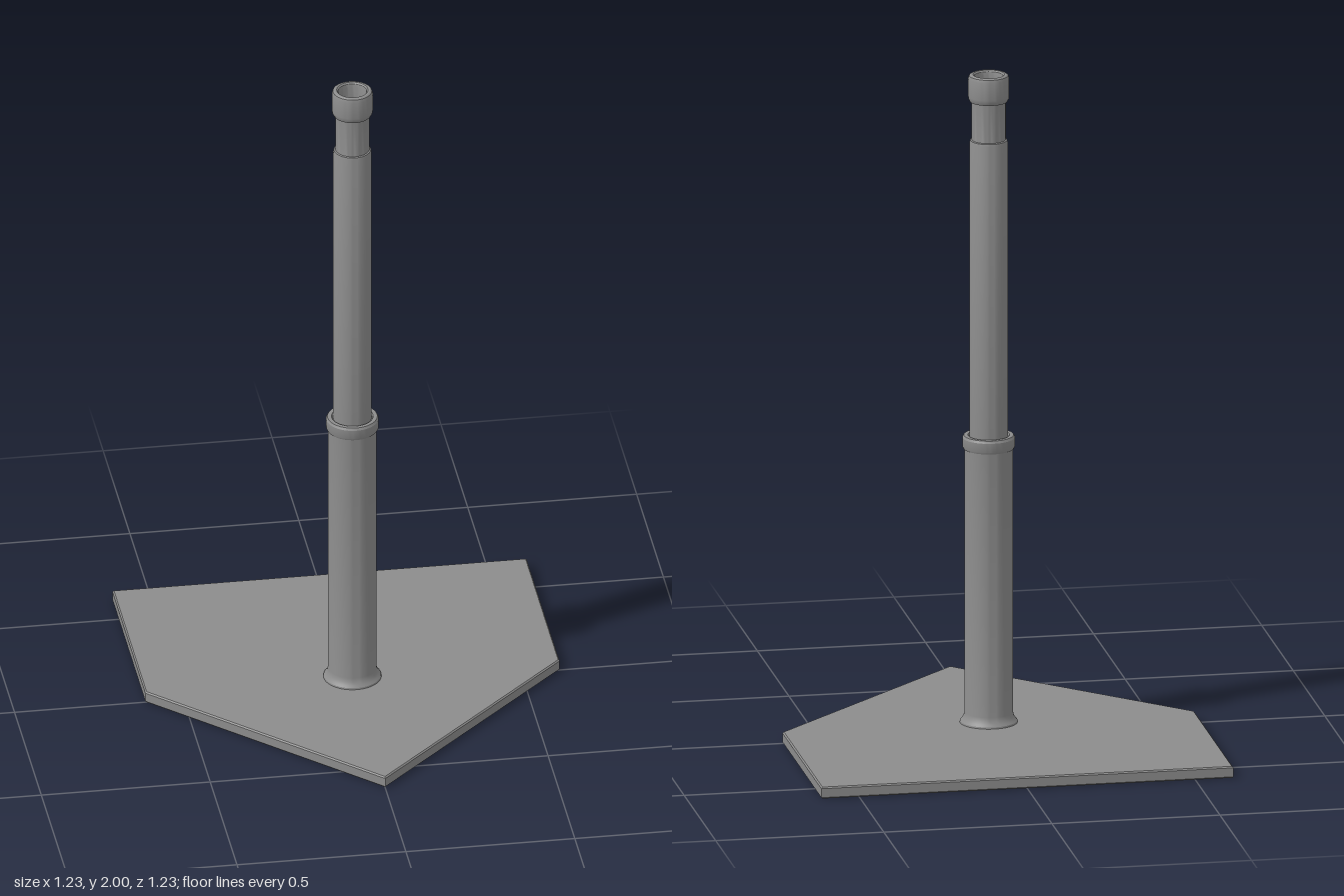
import * as THREE from 'three';
import { toCreasedNormals } from 'three/addons/utils/BufferGeometryUtils.js';

const rubber = new THREE.MeshStandardMaterial({ color: 0x8c8c8c });
rubber.name = 'grey rubber';

// Turned part from [radius, height] pairs, listed up the outside and down the inside
function turned(name, profile) {
  const points = profile.map(([r, y]) => new THREE.Vector2(r, y));
  const mesh = new THREE.Mesh(toCreasedNormals(new THREE.LatheGeometry(points, 48), 0.5), rubber);
  mesh.name = name;
  return mesh;
}

// Five-sided plate with its point to the front and a fine bevelled edge
function plate() {
  const b = 0.004, w = 0.613 - b;
  const shape = new THREE.Shape([
    [-w, 0], [0, -w], [w, 0], [w, w], [-w, w],
  ].map(([x, y]) => new THREE.Vector2(x, y)));
  const geometry = new THREE.ExtrudeGeometry(shape, {
    depth: 0.035 - 2 * b, bevelEnabled: true, bevelThickness: b, bevelSize: b, bevelSegments: 1,
  });
  geometry.rotateX(-Math.PI / 2).translate(0, b, 0);
  const mesh = new THREE.Mesh(geometry, rubber);
  mesh.name = 'basePlate';
  return mesh;
}

export function createModel() {
  const group = new THREE.Group();
  group.name = 'battingTee';
  group.add(plate());

  // Lower tube with a flared foot
  group.add(turned('lowerTube', [
    [0.085, 0.034], [0.084, 0.04], [0.079, 0.046], [0.074, 0.054], [0.071, 0.066],
    [0.071, 0.87],
  ]));

  // Collar around the top of the lower tube
  group.add(turned('collar', [
    [0.07, 0.866], [0.074, 0.866], [0.077, 0.872], [0.077, 0.899], [0.073, 0.906],
    [0.061, 0.906], [0.058, 0.9], [0.054, 0.9],
  ]));

  // Upper tube, stepping in to a narrower neck
  group.add(turned('upperTube', [
    [0.056, 0.88], [0.056, 1.795], [0.054, 1.801], [0.05, 1.803], [0.05, 1.93],
  ]));

  // Hollow ball cup with a rounded rim, its bore running down the tube
  group.add(turned('ballCup', [
    [0.049, 1.918], [0.055, 1.919], [0.059, 1.927], [0.06, 1.935], [0.06, 1.988],
    [0.057, 1.997], [0.052, 2], [0.046, 2], [0.042, 1.996], [0.04, 1.985],
    [0.037, 1.92], [0.037, 0.036],
  ]));

  return group;
}
